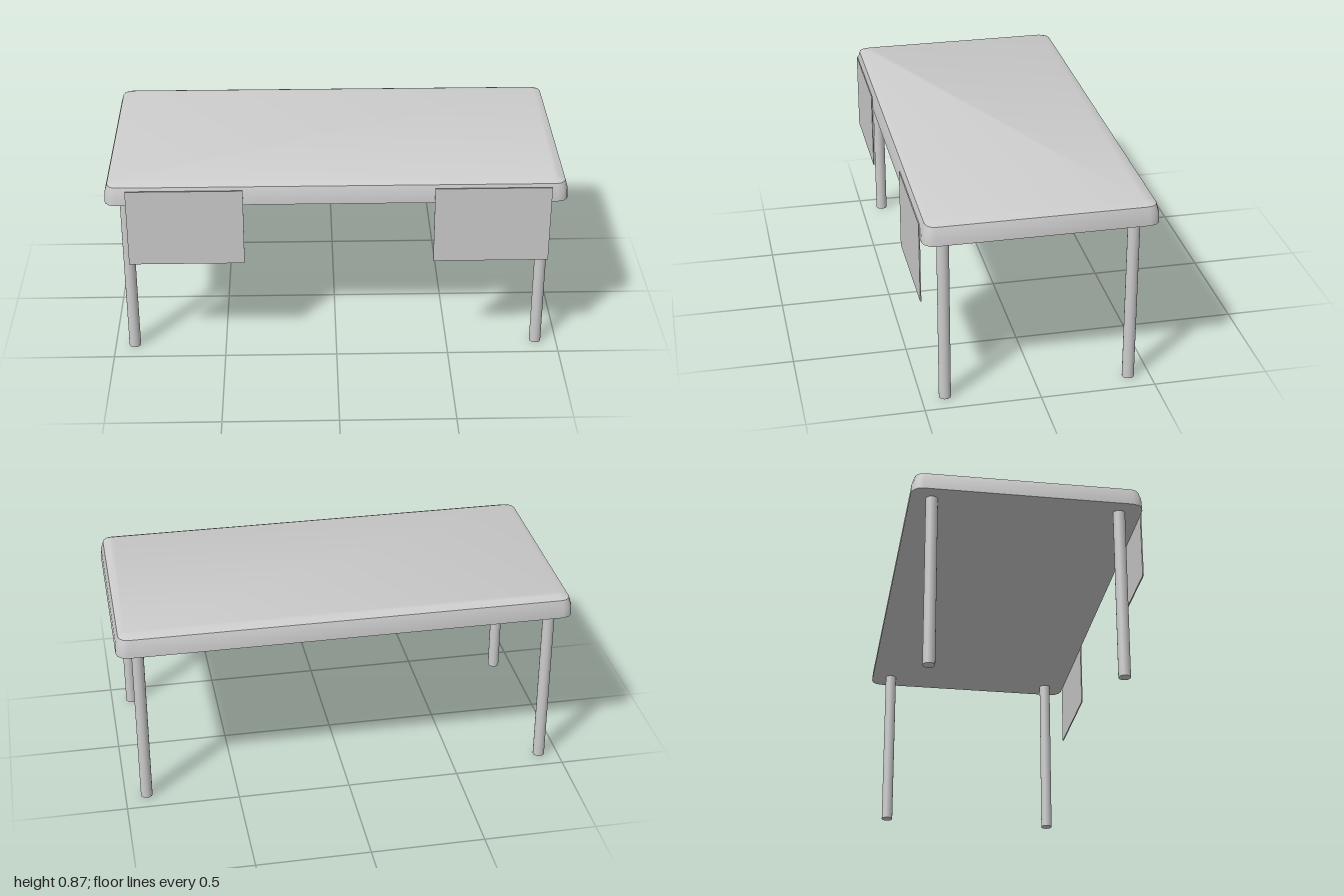
import * as THREE from 'three';
import { toCreasedNormals } from 'three/addons/utils/BufferGeometryUtils.js';

const material = new THREE.MeshStandardMaterial({ color: 0xcccccc });

// Corner points of a rounded rectangle, counter-clockwise seen from above
function roundedLoop(halfX, halfZ, radius, y, steps = 3) {
  const points = [];
  for (let corner = 0; corner < 4; corner++) {
    const sx = corner === 0 || corner === 3 ? 1 : -1;
    const sz = corner < 2 ? -1 : 1;
    for (let i = 0; i <= steps; i++) {
      const a = (corner + i / steps) * Math.PI / 2;
      points.push([
        sx * (halfX - radius) + radius * Math.cos(a),
        y,
        sz * (halfZ - radius) - radius * Math.sin(a),
      ]);
    }
  }
  return points;
}

// Stacks closed loops from bottom to top and caps both ends
function loft(loops) {
  const n = loops[0].length;
  const positions = loops.flat(2);
  const index = [];
  for (let l = 0; l < loops.length - 1; l++) {
    for (let i = 0; i < n; i++) {
      const a = l * n + i, b = l * n + (i + 1) % n;
      index.push(a, b, b + n, a, b + n, a + n);
    }
  }
  const top = (loops.length - 1) * n;
  for (let i = 1; i < n - 1; i++) {
    index.push(0, i + 1, i, top, top + i, top + i + 1);
  }
  const geometry = new THREE.BufferGeometry();
  geometry.setAttribute('position', new THREE.Float32BufferAttribute(positions, 3));
  geometry.setIndex(index);
  return toCreasedNormals(geometry, 0.6);
}

export function createModel() {
  const group = new THREE.Group();
  const add = (name, geometry, x, y, z) => {
    const mesh = new THREE.Mesh(geometry, material);
    mesh.name = name;
    mesh.position.set(x, y, z);
    group.add(mesh);
  };

  // Table top: flat underside, sides rounding over into the top, [height, inset]
  const profile = [[0.772, 0], [0.815, 0.003], [0.852, 0.014], [0.866, 0.045]];
  const loops = profile.map(([y, inset]) =>
    roundedLoop(1 - inset, 0.496 - inset, 0.05 - inset * 0.6, y));
  add('tableTop', loft(loops), 0, 0, -0.003);

  // Four round legs
  const legGeometry = new THREE.CylinderGeometry(0.026, 0.026, 0.775, 20);
  for (const [side, x] of [['Left', 0.906], ['Right', -0.914]]) {
    add(`front${side}Leg`, legGeometry, x, 0.3875, 0.399);
    add(`back${side}Leg`, legGeometry, x, 0.3875, -0.406);
  }

  // Two thin panels hanging on the front edge
  const panelGeometry = new THREE.BoxGeometry(0.503, 0.358, 0.005);
  add('leftFrontPanel', panelGeometry, 0.673, 0.663, 0.4965);
  add('rightFrontPanel', panelGeometry, -0.654, 0.663, 0.4965);

  return group;
}
